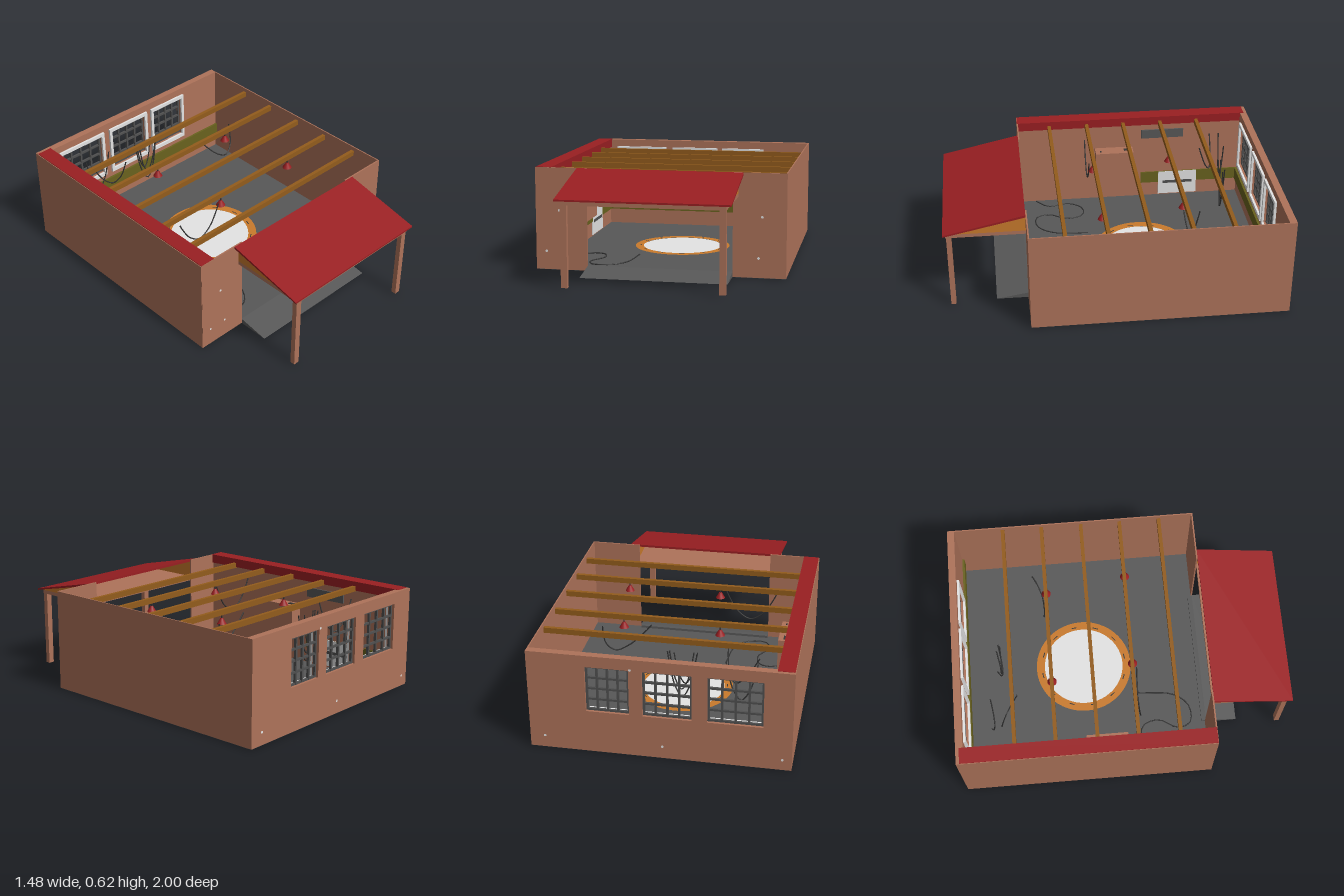
import * as THREE from 'three';

const paint = (name, hex, side = THREE.FrontSide) => {
  const m = new THREE.MeshStandardMaterial({ color: hex, side });
  m.name = name;
  return m;
};

export function createModel() {
  const root = new THREE.Group();
  root.name = 'openRoofHall';
  const clay = paint('clayWall', 0xae735a);
  const red = paint('darkRed', 0x9a1f22);
  const grey = paint('floorGrey', 0x585858);
  const orange = paint('orangeWood', 0xc97a2c, THREE.DoubleSide);
  const timber = paint('beamWood', 0x935c1c);
  const olive = paint('olive', 0x69621e);
  const pale = paint('paleGrey', 0xe4e4e4);
  const iron = paint('windowIron', 0x505050);
  const black = paint('cableBlack', 0x363636);

  const add = (name, geo, mat, parent = root) => {
    const m = new THREE.Mesh(geo, mat);
    m.name = name;
    parent.add(m);
    return m;
  };
  // box given by its extents on each axis
  const box = (name, mat, x0, x1, y0, y1, z0, z1, parent) => {
    const m = add(name, new THREE.BoxGeometry(x1 - x0, y1 - y0, z1 - z0), mat, parent);
    m.position.set((x0 + x1) / 2, (y0 + y1) / 2, (z0 + z1) / 2);
    return m;
  };
  // side profile in (z, y), extruded along x
  const profile = (name, mat, pts, x0, x1) => {
    const s = new THREE.Shape(pts.map(([z, y]) => new THREE.Vector2(-z, y)));
    const g = new THREE.ExtrudeGeometry(s, { depth: x1 - x0, bevelEnabled: false });
    g.rotateY(Math.PI / 2).translate(x0, 0, 0);
    return add(name, g, mat);
  };
  const rect = (T, x0, x1, y0, y1) => {
    const s = new T();
    s.moveTo(x0, y0).lineTo(x1, y0).lineTo(x1, y1).lineTo(x0, y1).closePath();
    return s;
  };

  // floor, ramp and threshold
  box('floor', grey, -0.738, 0.738, 0.003, 0.02, -0.998, 0.518);
  profile('entranceRamp', grey, [[0.518, 0.003], [0.71, 0.004], [0.518, 0.035]], -0.43, 0.43);
  box('threshold', grey, -0.43, 0.425, 0.02, 0.035, 0.49, 0.518);
  box('floorVent', pale, -0.73, -0.65, 0, 0.003, -0.7, -0.47);
  box('floorVent', pale, -0.73, -0.65, 0, 0.003, 0.26, 0.37);

  // side and front walls
  box('leftWall', clay, 0.733, 0.74, 0.005, 0.614, -1, 0.52);
  box('rightWall', clay, -0.74, -0.655, 0.005, 0.565, -1, 0.512);
  box('rightWallOuterSkin', clay, -0.743, -0.739, 0.005, 0.612, -1, 0.52);
  box('rightWallCap', red, -0.739, -0.645, 0.56, 0.616, -0.98, 0.519);
  for (const s of [-1, 1]) {
    box('frontWall', clay, s < 0 ? -0.74 : 0.43, s < 0 ? -0.43 : 0.74, 0.005, 0.614, 0.512, 0.521);
  }

  // back wall with three window openings
  const windows = [[-0.58, -0.27], [-0.185, 0.09], [0.165, 0.41]];
  const [winLow, winHigh] = [0.265, 0.545];
  const wall = rect(THREE.Shape, -0.74, 0.74, 0.005, 0.614);
  windows.forEach(([a, b]) => wall.holes.push(rect(THREE.Path, a, b, winLow, winHigh)));
  add('backWall', new THREE.ExtrudeGeometry(wall, { depth: 0.043, bevelEnabled: false }), clay)
    .position.z = -1;

  // window trims and iron grids
  for (const [a, b] of windows) {
    const w = new THREE.Group();
    w.name = 'window';
    root.add(w);
    const trim = rect(THREE.Shape, a - 0.02, b + 0.02, winLow - 0.025, winHigh + 0.022);
    trim.holes.push(rect(THREE.Path, a, b, winLow, winHigh));
    add('windowTrim', new THREE.ExtrudeGeometry(trim, { depth: 0.014, bevelEnabled: false }), pale, w)
      .position.z = -0.957;
    for (let i = 0; i < 5; i++) {
      const x = a + 0.006 + (b - a - 0.012) * i / 4;
      const y = winLow + 0.006 + (winHigh - winLow - 0.012) * i / 4;
      box('uprightBar', iron, x - 0.006, x + 0.006, winLow, winHigh, -0.985, -0.97, w);
      box('crossBar', iron, a, b, y - 0.006, y + 0.006, -0.984, -0.971, w);
    }
  }

  // olive wall stripes
  box('backStripe', olive, -0.655, 0.733, 0.12, 0.2, -0.957, -0.943);
  box('rightStripe', olive, -0.655, -0.647, 0.12, 0.2, -0.957, -0.3);

  // small worn spots on the front and back walls
  const spots = [[-0.68, 0.115, 1], [-0.6, 0.36, 1], [-0.57, 0.12, 1], [0.58, 0.12, 1], [0.6, 0.36, 1],
    [0.655, 0.08, -1], [-0.02, 0.08, -1], [0.155, 0.55, -1], [-0.69, 0.07, -1]];
  for (const [x, y, side] of spots) {
    const spot = add('wornSpot', new THREE.CircleGeometry(0.008, 10), pale);
    spot.position.set(x, y, side > 0 ? 0.5225 : -1.0015);
    if (side < 0) spot.rotation.y = Math.PI;
  }

  // fittings on the right wall
  box('wallCabinet', clay, -0.655, -0.57, 0.2, 0.4, -0.24, 0.01);
  box('cabinetSlot', black, -0.625, -0.6, 0.4, 0.404, -0.22, -0.18);
  box('cabinetKnob', black, -0.605, -0.595, 0.4, 0.404, -0.03, -0.02);
  box('palePanel', pale, -0.655, -0.646, 0.03, 0.2, -0.68, -0.42);
  box('panelSlot', iron, -0.65, -0.645, 0.11, 0.13, -0.65, -0.45);
  box('wallShelf', grey, -0.655, -0.645, 0.46, 0.52, -0.58, -0.3);

  // round floor inlay with dashes
  const disc = add('inlayDisc', new THREE.CylinderGeometry(0.252, 0.252, 0.004, 48), pale);
  disc.position.set(0, 0.021, -0.225);
  const ring = add('inlayRing', new THREE.RingGeometry(0.25, 0.302, 48), orange);
  ring.rotation.x = -Math.PI / 2;
  ring.position.set(0, 0.025, -0.225);
  for (let i = 0; i < 12; i++) {
    const g = new THREE.RingGeometry(0.264, 0.27, 3, 1, i * Math.PI / 6 + 0.1, 0.13);
    const dash = add('inlayDash', g, black);
    dash.rotation.x = -Math.PI / 2;
    dash.position.set(0, 0.027, -0.225);
  }

  // roof beams
  for (const z of [-0.66, -0.42, -0.175, 0.065, 0.31]) {
    box('roofBeam', timber, -0.655, 0.733, 0.555, 0.588, z - 0.011, z + 0.011);
  }

  // hanging lamps
  for (const [x, z] of [[-0.25, -0.42], [0.32, -0.42], [-0.175, 0.07], [0.395, 0.07]]) {
    const lamp = new THREE.Group();
    lamp.name = 'lamp';
    lamp.position.set(x, 0, z);
    root.add(lamp);
    add('lampShade', new THREE.CylinderGeometry(0.008, 0.028, 0.035, 16), red, lamp).position.y = 0.518;
    add('lampRod', new THREE.CylinderGeometry(0.004, 0.004, 0.04, 8), black, lamp).position.y = 0.55;
  }

  // cables
  const cable = (name, pts) => {
    const c = new THREE.CatmullRomCurve3(pts.map(p => new THREE.Vector3(...p)));
    add(name, new THREE.TubeGeometry(c, 32, 0.004, 6), black);
  };
  // sagging cable: start, bend and end in plan, then lowest height
  const sags = [
    [-0.52, -0.79, -0.43, -0.79, -0.34, -0.79, 0.3], [-0.52, -0.73, -0.34, -0.74, -0.33, -0.63, 0.36],
    [-0.17, -0.74, -0.08, -0.72, 0, -0.73, 0.25], [-0.15, -0.72, -0.08, -0.74, -0.01, -0.72, 0.3],
    [-0.17, -0.72, -0.1, -0.73, -0.04, -0.74, 0.34],
    [0.15, -0.44, 0.44, -0.43, 0.43, -0.5, 0.36], [-0.52, 0.09, -0.36, 0.09, -0.21, 0.09, 0.36]];
  for (const [x0, z0, xb, zb, x1, z1, low] of sags) {
    const plan = new THREE.QuadraticBezierCurve(
      new THREE.Vector2(x0, z0), new THREE.Vector2(xb, zb), new THREE.Vector2(x1, z1));
    cable('hangingCable', [-1, -0.85, -0.5, 0, 0.5, 0.85, 1].map(t => {
      const p = plan.getPoint((t + 1) / 2);
      return [p.x, low + (0.54 - low) * t * t, p.y];
    }));
  }
  const floorRun = [[-0.21, 0.1], [-0.24, 0.33], [-0.32, 0.42], [-0.43, 0.42], [-0.46, 0.34], [-0.4, 0.22],
    [-0.43, 0.12], [-0.52, 0.11], [-0.59, 0.2], [-0.565, 0.33], [-0.64, 0.41]];
  cable('floorCable', floorRun.map(([x, z]) => [x, 0.024, z]));

  // porch roof, gables, soffit and posts
  profile('porchRoof', red, [[0.521, 0.6], [1, 0.496], [1, 0.506], [0.521, 0.614]], -0.49, 0.49);
  box('porchSoffit', clay, -0.46, 0.46, 0.472, 0.494, 0.521, 0.985);
  for (const s of [-1, 1]) {
    profile('porchGable', orange, [[0.521, 0.494], [0.99, 0.494], [0.521, 0.6]], s * 0.455 - 0.005, s * 0.455 + 0.005);
    box('porchPost', clay, s * 0.442 - 0.018, s * 0.442 + 0.018, 0.008, 0.472, 0.95, 0.98);
  }
  return root;
}
